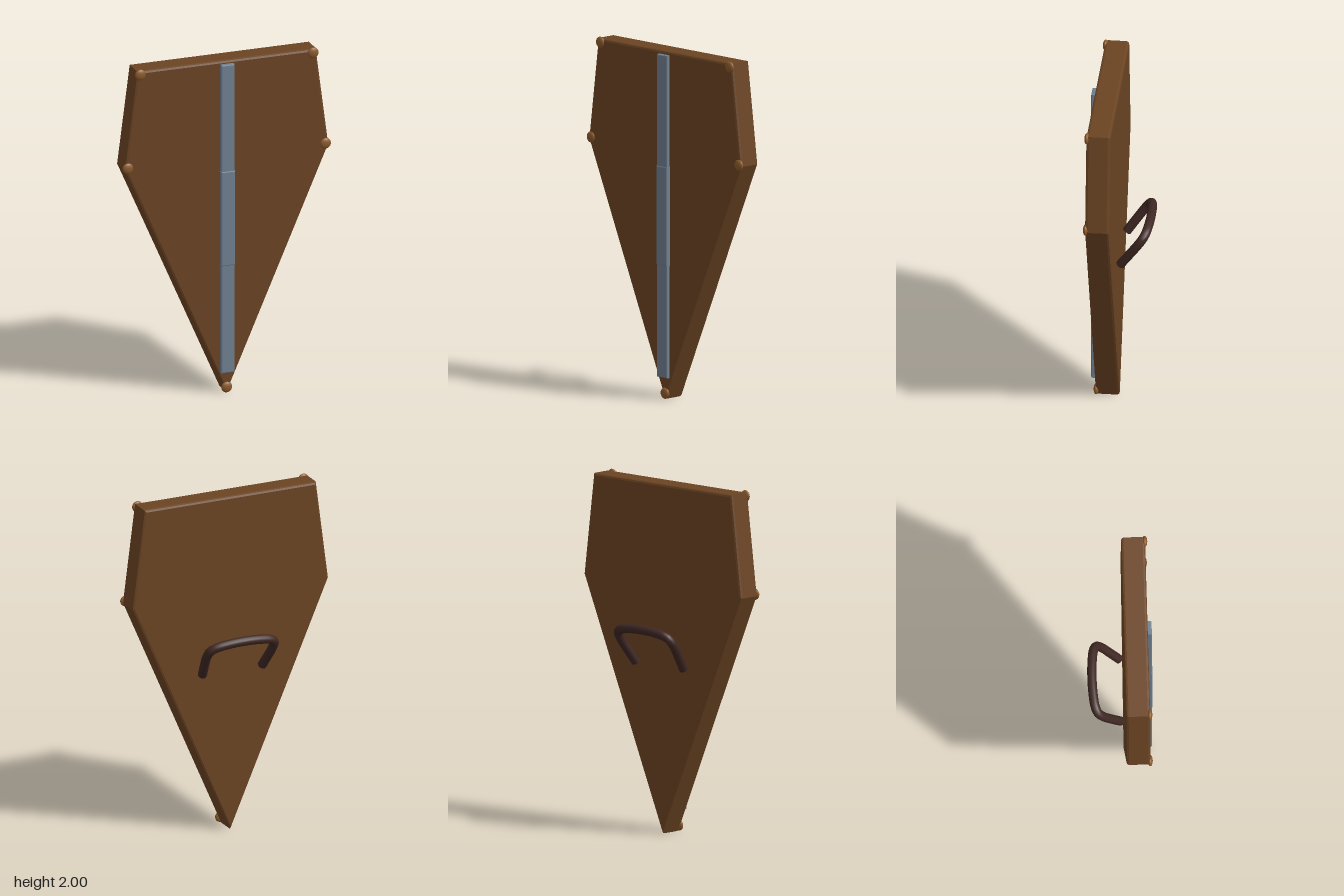
import * as THREE from 'three';

const material = (name, color) => Object.assign(new THREE.MeshStandardMaterial({ color }), { name });

export function createModel() {
  const group = new THREE.Group();
  const wood = material('brown wood', 0x6b4423);
  const steel = material('grey steel', 0x708090);
  const brass = material('bronze', 0x8b5a2b);
  const leather = material('dark leather', 0x3e2723);

  const add = (name, geometry, mat, x = 0, y = 0, z = 0) => {
    const mesh = new THREE.Mesh(geometry, mat);
    mesh.name = name;
    mesh.position.set(x, y, z);
    group.add(mesh);
    return mesh;
  };

  // Bevelled plate; the outline is the full outer size
  const plate = (points, depth, bevel) => {
    const shape = new THREE.Shape(points.map(([x, y]) => new THREE.Vector2(x, y)));
    return new THREE.ExtrudeGeometry(shape, {
      depth: depth - 2 * bevel, bevelThickness: bevel, bevelSize: bevel,
      bevelOffset: -bevel, bevelSegments: 2,
    }).translate(0, 0, bevel);
  };
  const bar = (w, y0, y1) => [[-w, y0], [w, y0], [w, y1], [-w, y1]];

  // Shield board
  const outline = [[0, 0.005], [0.61, 1.41], [0.535, 1.99], [-0.535, 1.99], [-0.61, 1.41]];
  add('shieldBoard', plate(outline, 0.135, 0.014), wood, 0, 0, 0.02);

  // Central metal rib with a slightly fuller middle
  add('centreRib', plate(bar(0.04, 0.13, 1.97), 0.038, 0.006), steel, 0, 0, 0.14);
  add('ribMiddle', plate(bar(0.042, 0.77, 1.335), 0.041, 0.006), steel, 0, 0, 0.14);

  // Flattened rivets at the corners
  for (const [x, y] of [[0, 0.038], [0.59, 1.418], [-0.59, 1.418], [0.516, 1.968], [-0.516, 1.968]]) {
    add('rivet', new THREE.SphereGeometry(0.032, 20, 14), brass, x, y, 0.153).scale.z = 0.45;
  }

  // Tilted grip on the back: x and distance behind the board, rising with that distance
  const half = [[0.185, 0], [0.197, 0.05], [0.206, 0.1], [0.199, 0.128], [0.17, 0.143], [0.1, 0.153]];
  const path = [...half.map(([x, d]) => [-x, d]), [0, 0.157], ...half.slice().reverse()]
    .map(([x, d]) => new THREE.Vector3(x, 0.962 + d * 1.42, -d));
  const curve = new THREE.CatmullRomCurve3(path);
  add('grip', new THREE.TubeGeometry(curve, 48, 0.026, 14), leather);

  // Flat caps on the grip ends
  for (const end of [0, 1]) {
    const p = curve.getPoint(end);
    const outward = curve.getTangent(end).multiplyScalar(end ? 1 : -1);
    const cap = add('gripEnd', new THREE.CircleGeometry(0.026, 14), leather, p.x, p.y, p.z);
    cap.quaternion.setFromUnitVectors(new THREE.Vector3(0, 0, 1), outward);
  }
  return group;
}
